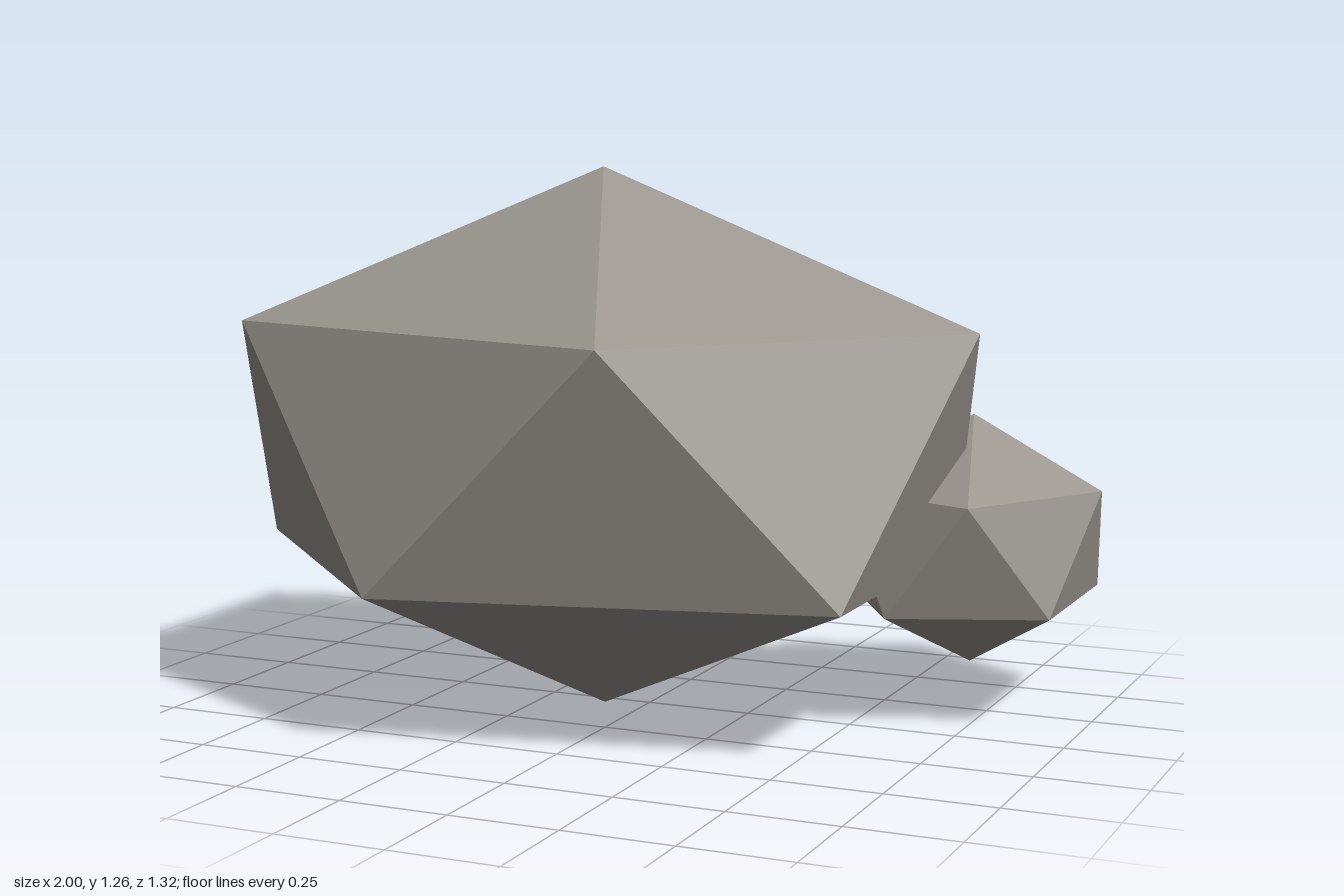
import * as THREE from 'three';

const stone = new THREE.MeshStandardMaterial({ color: 0x9a958f, flatShading: true });
stone.name = 'warm grey stone';

// Tilt that puts one icosahedron corner straight up, with an upper-ring corner at +x
const GOLDEN = (1 + Math.sqrt(5)) / 2;
const TILT = -Math.atan(1 / GOLDEN);

// Faceted boulder: an upright icosahedron stretched along each axis
function makeRock(name, radii, centre) {
  const geometry = new THREE.IcosahedronGeometry(1, 0);
  geometry.rotateZ(TILT);
  geometry.scale(...radii);
  const rock = new THREE.Mesh(geometry, stone);
  rock.name = name;
  rock.position.set(...centre);
  return rock;
}

export function createModel() {
  const group = new THREE.Group();
  group.name = 'rocks';
  group.add(
    makeRock('largeRock', [1.008, 0.631, 0.757], [-0.099, 0.631, 0.038]),
    makeRock('smallRock', [0.341, 0.293, 0.463 * 0.894 + 0.001], [0.695, 0.399, -0.29]),
  );
  return group;
}
